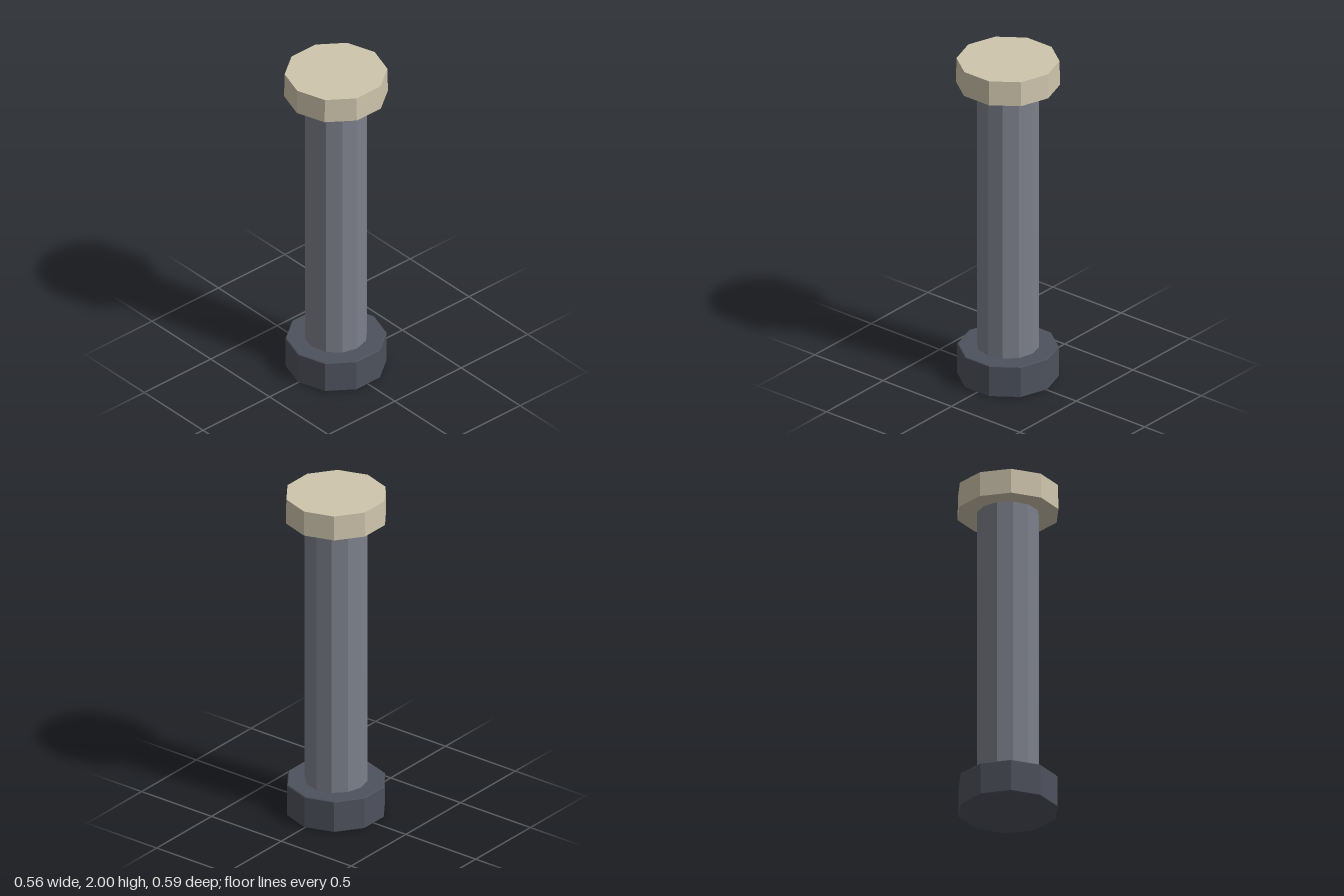
import * as THREE from 'three';

export function createModel() {
  const group = new THREE.Group();
  group.name = 'column';

  const makeMaterial = (name, color) => {
    const m = new THREE.MeshStandardMaterial({ color, flatShading: true });
    m.name = name;
    return m;
  };
  const paleStone = makeMaterial('paleStone', 0xcfc5ad);
  const greyMetal = makeMaterial('greyMetal', 0x7c808b);
  const darkMetal = makeMaterial('darkMetal', 0x4e525d);

  // Faceted solid of revolution from [radius, height] points, bottom to top
  const addTurned = (name, material, sides, profile) => {
    const points = profile.map(([r, y]) => new THREE.Vector2(r, y));
    const mesh = new THREE.Mesh(new THREE.LatheGeometry(points, sides), material);
    mesh.name = name;
    group.add(mesh);
  };

  // Ten-sided foot with fine edge bevels
  addTurned('base', darkMetal, 10, [
    [0, 0.004], [0.282, 0.004], [0.287, 0.009], [0.287, 0.19], [0.282, 0.195], [0, 0.195],
  ]);

  // Twelve-sided shaft, closed inside the foot and the cap
  addTurned('shaft', greyMetal, 12, [[0, 0.18], [0.178, 0.18], [0.178, 1.86], [0, 1.86]]);

  // Ten-sided cap, very slightly narrower at the top
  addTurned('cap', paleStone, 10, [[0, 1.85], [0.294, 1.85], [0.291, 2], [0, 2]]);

  // Stand exactly on the ground
  group.children[0].position.y = -0.004;
  group.children[0].scale.y = 1.02;
  return group;
}
